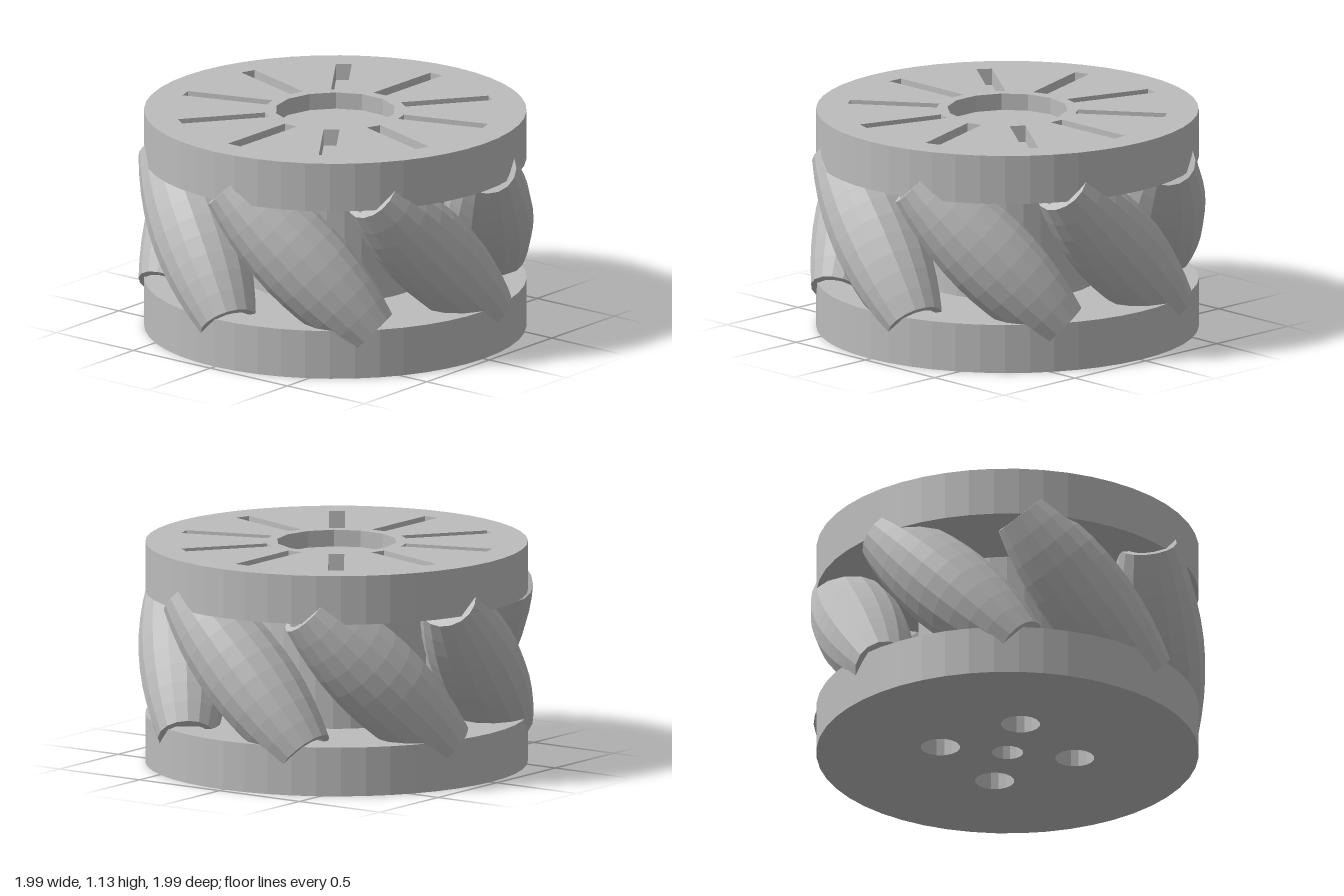
import * as THREE from 'three';

const ROLLERS = 7, SLOTS = 10;
const DISC_R = 0.965, AXLE_R = 0.77, MID_Y = 0.565, HALF_LEN = 0.52;

// Faceted normals for a geometry
function facet(geometry) {
  const g = geometry.index ? geometry.toNonIndexed() : geometry;
  g.computeVertexNormals();
  return g;
}

// Regular polygon outline
function ring(Kind, radius, sides, cx = 0, cy = 0) {
  const pts = [];
  for (let i = 0; i < sides; i++) {
    const a = (i / sides) * Math.PI * 2;
    pts.push(new THREE.Vector2(cx + radius * Math.cos(a), cy + radius * Math.sin(a)));
  }
  return new Kind(pts);
}

// Radial slot outline at a given angle
function slot(angle, inner, outer, halfWidth) {
  const corners = [[inner, -halfWidth], [outer, -halfWidth], [outer, halfWidth], [inner, halfWidth]];
  return new THREE.Path(corners.map(([x, y]) =>
    new THREE.Vector2(x, y).rotateAround(new THREE.Vector2(), angle)));
}

// Flat disc with holes, lying between two heights
function slab(y0, y1, holes) {
  const shape = ring(THREE.Shape, DISC_R, 48);
  shape.holes.push(...holes);
  const g = new THREE.ExtrudeGeometry(shape, { depth: y1 - y0, bevelEnabled: false });
  g.rotateX(-Math.PI / 2).translate(0, y0, 0);
  return facet(g);
}

// Barrel whose tilted surface follows the unit wheel circle, with cupped ends
function rollerGeometry() {
  const profile = [[0, -0.47], [0.105, -0.47], [0.115, -HALF_LEN]];
  const steps = 10;
  for (let i = 0; i <= steps; i++) {
    const s = -HALF_LEN + (2 * HALF_LEN * i) / steps;
    profile.push([1 - Math.hypot(AXLE_R, s * Math.SQRT1_2), s]);
  }
  profile.push([0.115, HALF_LEN], [0.105, 0.47], [0, 0.47]);
  return facet(new THREE.LatheGeometry(profile.map(([x, y]) => new THREE.Vector2(x, y)), 16));
}

export function createModel() {
  const model = new THREE.Group();
  const grey = new THREE.MeshStandardMaterial({ color: 0xbcbcbc });
  grey.name = 'plain grey';
  const add = (name, geometry, parent = model) => {
    const mesh = new THREE.Mesh(geometry, grey);
    mesh.name = name;
    parent.add(mesh);
    return mesh;
  };

  // Upper plate: solid base under a slotted face with a round recess
  const topHoles = [ring(THREE.Path, 0.305, 14)];
  for (let i = 0; i < SLOTS; i++) {
    topHoles.push(slot(Math.PI / 2 + (i / SLOTS) * Math.PI * 2, 0.355, 0.81, 0.04));
  }
  add('upperPlateBase', slab(0.88, 1.045, []));
  add('upperPlateFace', slab(1.045, 1.13, topHoles));

  // Lower plate: shaft hole and four bolt holes
  const boltHoles = [ring(THREE.Path, 0.08, 14)];
  for (let i = 0; i < 4; i++) {
    const a = Math.PI / 4 + (i * Math.PI) / 2;
    boltHoles.push(ring(THREE.Path, 0.1, 16, 0.345 * Math.cos(a), 0.345 * Math.sin(a)));
  }
  add('lowerPlate', slab(0, 0.25, boltHoles));

  // Hub joining the plates
  add('hubCore', facet(new THREE.CylinderGeometry(0.45, 0.45, 0.63, 32).translate(0, MID_Y, 0)));

  // Slanted rollers around the rim
  const barrel = rollerGeometry();
  for (let i = 0; i < ROLLERS; i++) {
    const mount = new THREE.Group();
    mount.name = 'rollerMount';
    mount.rotation.y = ((i + 0.5) / ROLLERS) * Math.PI * 2;
    const roller = add('roller', barrel, mount);
    roller.position.set(0, MID_Y, AXLE_R);
    roller.rotation.z = Math.PI / 4;
    model.add(mount);
  }
  return model;
}
